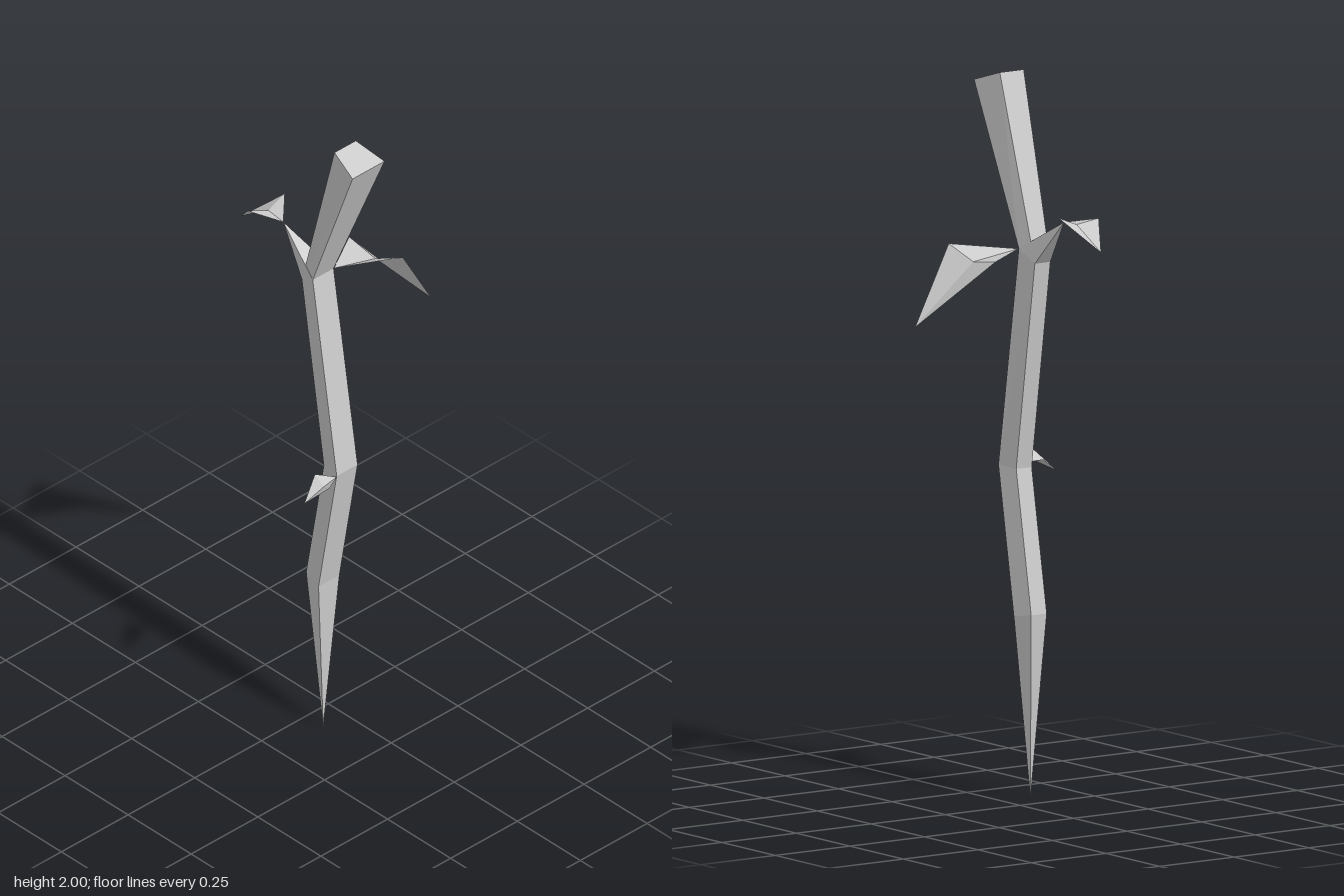
import * as THREE from 'three';

const Z = 0.085; // depth of the stem's centre plane
const stemMaterial = new THREE.MeshStandardMaterial({ color: 0xcccccc, flatShading: true });
const leafMaterial = new THREE.MeshStandardMaterial({ color: 0xcccccc, flatShading: true, side: THREE.DoubleSide });

function makeMesh(name, triangles, material) {
  const geometry = new THREE.BufferGeometry();
  geometry.setAttribute('position', new THREE.Float32BufferAttribute(triangles.flat(2), 3));
  geometry.computeVertexNormals();
  const mesh = new THREE.Mesh(geometry, material);
  mesh.name = name;
  return mesh;
}

// Four-sided cross-section, given its left and right edges and their half depths
const ring = (xl, yl, xr, yr, hl = 0.026, hr = 0.039) => [
  [xl, yl, Z - hl], [xl, yl, Z + hl], [xr, yr, Z + hr], [xr, yr, Z - hr],
];
const point = (x, y) => ring(x, y, x, y, 0, 0);

// Skin between successive cross-sections, closed at the top
function loft(rings) {
  const same = (p, q) => p.every((v, i) => v === q[i]);
  const triangles = [];
  for (let k = 0; k < rings.length - 1; k++) {
    for (let i = 0; i < 4; i++) {
      const j = (i + 1) % 4;
      const [a, b, c, d] = [rings[k][i], rings[k][j], rings[k + 1][j], rings[k + 1][i]];
      if (!same(a, b)) triangles.push([a, b, c]);
      if (!same(c, d)) triangles.push([a, c, d]);
    }
  }
  const [a, b, c, d] = rings[rings.length - 1];
  if (!same(a, b)) triangles.push([a, b, c], [a, c, d]);
  return triangles;
}

// Folded leaf: four facets around a sunken middle point
function leaf(name, base, sideA, tip, sideB, middle) {
  const rim = [base, sideA, tip, sideB];
  return makeMesh(name, rim.map((p, i) => [p, rim[(i + 1) % 4], middle]), leafMaterial);
}

export function createModel() {
  const group = new THREE.Group();
  group.name = 'twig';

  // Crooked stem, from the pointed foot to the thick cut end
  const fork = ring(0.013, 1.49, 0.07, 1.525);
  group.add(makeMesh('stem', loft([
    point(0.07, 0),
    ring(0.03, 0.515, 0.093, 0.505),
    ring(0.1, 0.91, 0.165, 0.915),
    fork,
    ring(0.157, 2, 0.25, 1.97, 0.04, 0.06),
  ]), stemMaterial));

  // Pointed side shoot at the upper bend
  group.add(makeMesh('sideShoot', loft([fork, point(-0.088, 1.617)]), stemMaterial));

  // Leaves
  group.add(
    leaf('shootLeaf', [-0.088, 1.617, 0.085], [-0.175, 1.635, 0.138],
      [-0.25, 1.555, 0.092], [-0.153, 1.645, 0.018], [-0.153, 1.62, 0.08]),
    leaf('backLeaf', [0.07, 1.525, 0.045], [0.177, 1.54, -0.112],
      [0.152, 1.325, -0.243], [-0.018, 1.515, -0.095], [0.09, 1.5, -0.092]),
    leaf('frontLeaf', [0.165, 0.912, 0.124], [0.125, 0.922, 0.168],
      [0.16, 0.877, 0.241], [0.213, 0.935, 0.197], [0.17, 0.908, 0.178]),
  );
  return group;
}
